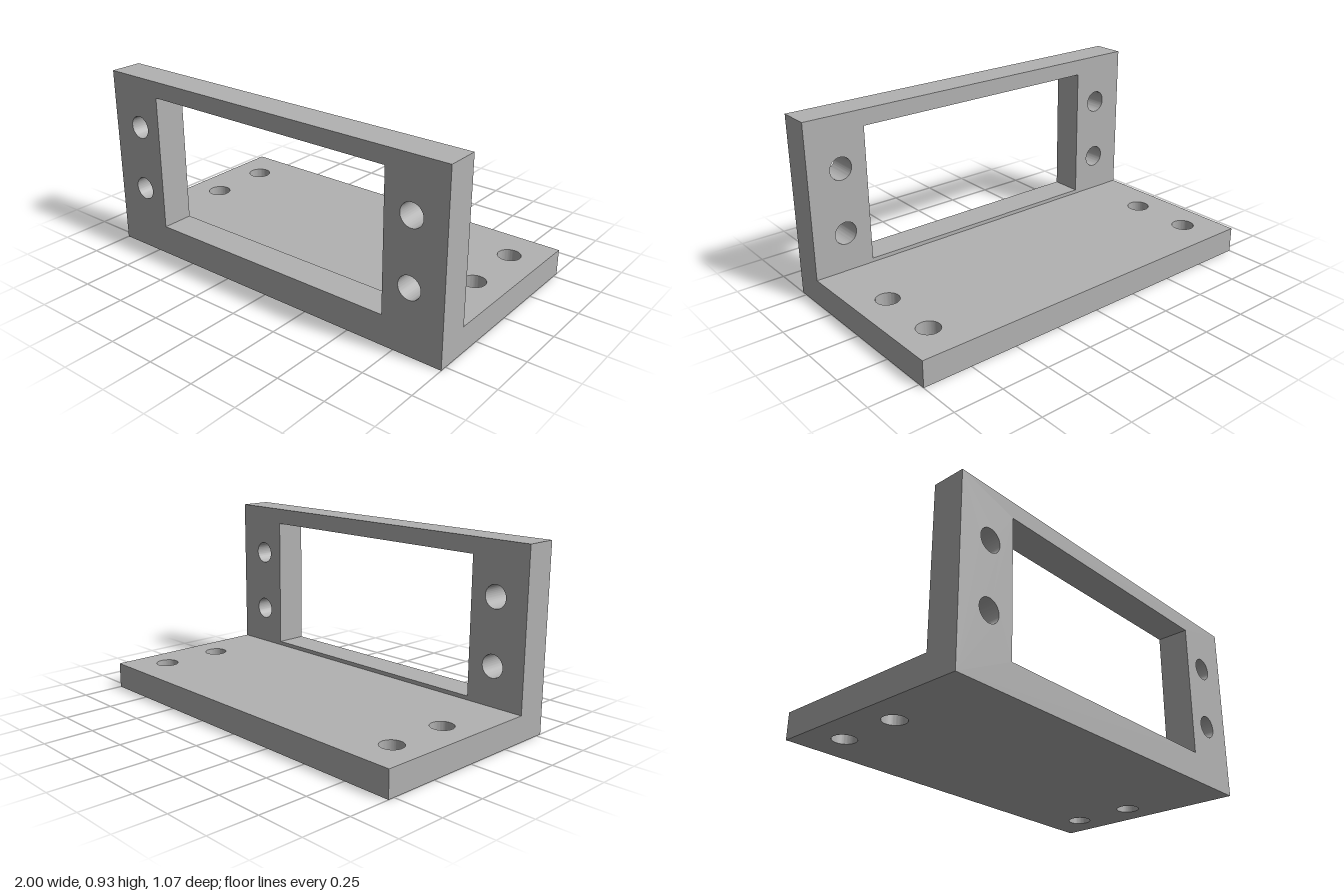
import * as THREE from 'three';
import { toCreasedNormals } from 'three/addons/utils/BufferGeometryUtils.js';

const HALF_WIDTH = 1;
const HALF_DEPTH = 0.533;
const HEIGHT = 0.933;
const BASE_THICKNESS = 0.133;
const FACE_BACK = 0.367; // z of the upright plate's rear side
const HOLE_RADIUS = 0.058;

// Closed rectangle, usable as an outline or as a hole
function rectangle(PathType, x0, y0, x1, y1) {
  return new PathType([
    new THREE.Vector2(x0, y0),
    new THREE.Vector2(x1, y0),
    new THREE.Vector2(x1, y1),
    new THREE.Vector2(x0, y1),
  ]);
}

// Mirrored pairs of round screw holes at the given heights
function addScrewHoles(shape, x, heights) {
  for (const side of [-1, 1]) {
    for (const y of heights) {
      shape.holes.push(new THREE.Path().absarc(side * x, y, HOLE_RADIUS, 0, Math.PI * 2, true));
    }
  }
}

// Extruded plate with smooth hole walls and sharp edges
function plate(shape, depth) {
  const geometry = new THREE.ExtrudeGeometry(shape, { depth, bevelEnabled: false, curveSegments: 40 });
  return toCreasedNormals(geometry, 0.6);
}

export function createModel() {
  const model = new THREE.Group();
  model.name = 'mountingBracket';
  const grey = new THREE.MeshStandardMaterial({ name: 'grey', color: 0xb2b2b2 });

  // Upright plate with a rectangular window and four screw holes
  const faceShape = rectangle(THREE.Shape, -HALF_WIDTH, 0, HALF_WIDTH, HEIGHT);
  faceShape.holes.push(rectangle(THREE.Path, -0.687, 0.153, 0.687, 0.85));
  addScrewHoles(faceShape, 0.825, [0.333, 0.667]);
  const face = new THREE.Mesh(plate(faceShape, HALF_DEPTH - FACE_BACK), grey);
  face.name = 'uprightPlate';
  face.position.z = FACE_BACK;
  model.add(face);

  // Flat base with four screw holes; shape y becomes -z once laid down
  const baseShape = rectangle(THREE.Shape, -HALF_WIDTH, -FACE_BACK, HALF_WIDTH, HALF_DEPTH);
  addScrewHoles(baseShape, 0.833, [0, 0.333]);
  const base = new THREE.Mesh(plate(baseShape, BASE_THICKNESS), grey);
  base.name = 'basePlate';
  base.rotation.x = -Math.PI / 2;
  model.add(base);

  return model;
}
